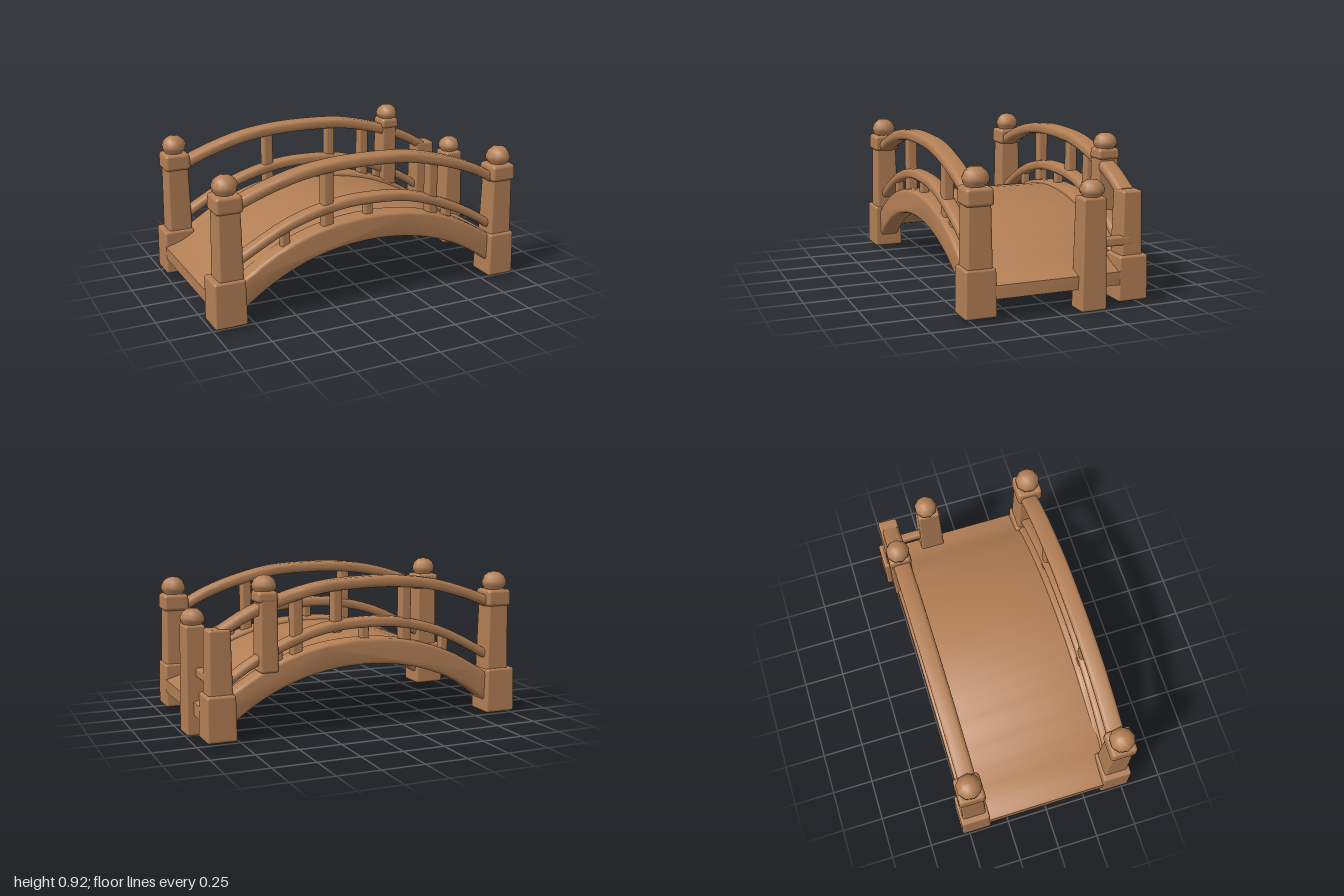
import * as THREE from 'three';
import { toCreasedNormals } from 'three/addons/utils/BufferGeometryUtils.js';
import { RoundedBoxGeometry } from 'three/addons/geometries/RoundedBoxGeometry.js';

const wood = new THREE.MeshStandardMaterial({ color: 0xb37f55 });
wood.name = 'warm wood';

function add(parent, name, geometry, x = 0, y = 0, z = 0) {
  const mesh = new THREE.Mesh(geometry, wood);
  mesh.name = name;
  mesh.position.set(x, y, z);
  parent.add(mesh);
  return mesh;
}

// Rounded block from y0 to y1, its top scaled by taper
function block(parent, name, x, z, y0, y1, w, d, taper = 1, radius = 0.015) {
  const h = y1 - y0;
  const g = new RoundedBoxGeometry(w, h, d, 2, radius);
  const p = g.attributes.position;
  for (let i = 0; i < p.count; i++) {
    const s = THREE.MathUtils.lerp(1, taper, p.getY(i) / h + 0.5);
    p.setX(i, p.getX(i) * s);
    p.setZ(i, p.getZ(i) * s);
  }
  return add(parent, name, g, x, (y0 + y1) / 2, z);
}

// Arched band between an upper and a lower curve, bevelled along its edges
function archBand(parent, name, upper, lower, z0, z1, bevel) {
  const sample = pts => new THREE.CatmullRomCurve3(pts.map(([x, y]) => new THREE.Vector3(x, y, 0)))
    .getPoints(32).map(v => new THREE.Vector2(v.x, v.y));
  const shape = new THREE.Shape([...sample(lower), ...sample(upper).reverse()]);
  const g = new THREE.ExtrudeGeometry(shape, {
    depth: z1 - z0 - 2 * bevel, bevelEnabled: true, bevelSize: bevel,
    bevelThickness: bevel, bevelOffset: -bevel, bevelSegments: 3,
  });
  return add(parent, name, toCreasedNormals(g, 0.7), 0, 0, z0 + bevel);
}

// Round finial with a short neck, sitting on y
function finial(parent, x, y, z, r, h) {
  const profile = [[0, 0], [0.75, 0], [0.7, 0.12], [0.98, 0.32], [1, 0.52], [0.82, 0.78], [0.45, 0.96], [0, 1]]
    .map(([a, b]) => new THREE.Vector2(a * r, b * h));
  add(parent, 'finial', new THREE.LatheGeometry(profile, 9), x, y, z);
}

function cornerPost(parent, name, x, z, collarY, baseX, baseW) {
  const post = new THREE.Group();
  post.name = name;
  block(post, 'postBase', baseX, z, 0.02, 0.29, baseW, 0.185, 0.95);
  block(post, 'postShaft', x, z, 0.25, collarY + 0.02, 0.147, 0.147, 0.9);
  block(post, 'postCollar', x, z, collarY, collarY + 0.1, 0.16, 0.16, 0.96, 0.02);
  finial(post, x, collarY + 0.085, z, 0.075, 0.12);
  parent.add(post);
}

const mirror = half => [...half.slice(1).reverse().map(([x, y]) => [-x, y]), ...half];
const shift = (pts, dy) => pts.map(([x, y]) => [x, y + dy]);

const topRail = [[-0.88, 0.665], [-0.8, 0.71], [-0.5, 0.81], [-0.25, 0.847], [0, 0.852],
  [0.25, 0.835], [0.5, 0.775], [0.7, 0.7], [0.86, 0.61]];
const lowRail = [[-0.88, 0.34], [-0.8, 0.39], [-0.5, 0.54], [-0.22, 0.61], [0, 0.62],
  [0.25, 0.595], [0.5, 0.51], [0.7, 0.41], [0.86, 0.3]];

export function createModel() {
  const bridge = new THREE.Group();
  bridge.name = 'archedFootbridge';

  // Walking deck, flattening out at both ends
  const deckTop = mirror([[0, 0.51], [0.4, 0.455], [0.7, 0.33], [0.85, 0.235], [0.97, 0.195]]);
  const deckBottom = mirror([[0, 0.44], [0.4, 0.385], [0.7, 0.25], [0.84, 0.15], [0.97, 0.12]]);
  archBand(bridge, 'deck', deckTop, deckBottom, -0.41, 0.41, 0.012).position.x = -0.022;

  // Side beams and railings
  const beamTop = mirror([[0, 0.53], [0.3, 0.5], [0.55, 0.42], [0.75, 0.31], [0.88, 0.22]]);
  const beamBottom = mirror([[0, 0.38], [0.3, 0.347], [0.55, 0.26], [0.75, 0.14], [0.88, 0.03]]);
  for (const side of [1, -1]) {
    const rail = new THREE.Group();
    rail.name = side > 0 ? 'frontSide' : 'backSide';
    const z = 0.445 * side;
    archBand(rail, 'sideBeam', beamTop, beamBottom, z - 0.06, z + 0.06, 0.018);
    archBand(rail, 'topRail', shift(topRail, 0.033), shift(topRail, -0.033), z - 0.052, z + 0.052, 0.022);
    archBand(rail, 'lowerRail', shift(lowRail, 0.03), shift(lowRail, -0.03), z - 0.042, z + 0.042, 0.02);
    // Tall uprights
    block(rail, 'upright', -0.28, z, 0.47, 0.85, 0.066, 0.066);
    block(rail, 'upright', 0.4, z, 0.42, 0.81, 0.066, 0.066);
    if (side < 0) block(rail, 'upright', 0.155, z, 0.57, 0.85, 0.062, 0.062);
    // Short struts under the lower rail
    for (const [x, y] of [[-0.54, 0.38], [-0.02, 0.48], [0.51, 0.39]])
      block(rail, 'strut', x, z, y, y + 0.13, 0.05, 0.05, 1, 0.01);
    bridge.add(rail);
  }

  // Complete corner posts
  cornerPost(bridge, 'frontRightPost', -0.885, 0.45, 0.67, -0.9, 0.195);
  cornerPost(bridge, 'backRightPost', -0.885, -0.45, 0.67, -0.9, 0.195);
  cornerPost(bridge, 'frontLeftPost', 0.865, 0.453, 0.62, 0.865, 0.175);

  // Broken corner post without its collar
  block(bridge, 'brokenPostBase', 0.865, -0.452, 0.02, 0.28, 0.175, 0.185, 0.95);
  block(bridge, 'brokenPostShaft', 0.86, -0.45, 0.25, 0.64, 0.14, 0.13, 0.9);

  // Intermediate post on the back railing
  block(bridge, 'railPostShaft', 0.58, -0.452, 0.38, 0.83, 0.108, 0.135, 0.95);
  block(bridge, 'railPostCollar', 0.585, -0.45, 0.77, 0.835, 0.125, 0.14, 0.92, 0.02);
  finial(bridge, 0.587, 0.815, -0.45, 0.07, 0.105);

  // Stray post at the deck end, tied to the broken post by a bar
  block(bridge, 'strayPostShaft', 0.925, -0.19, 0, 0.63, 0.135, 0.158, 0.86);
  finial(bridge, 0.925, 0.615, -0.195, 0.07, 0.107);
  block(bridge, 'tieBar', 0.905, -0.33, 0.335, 0.39, 0.05, 0.24);

  return bridge;
}
